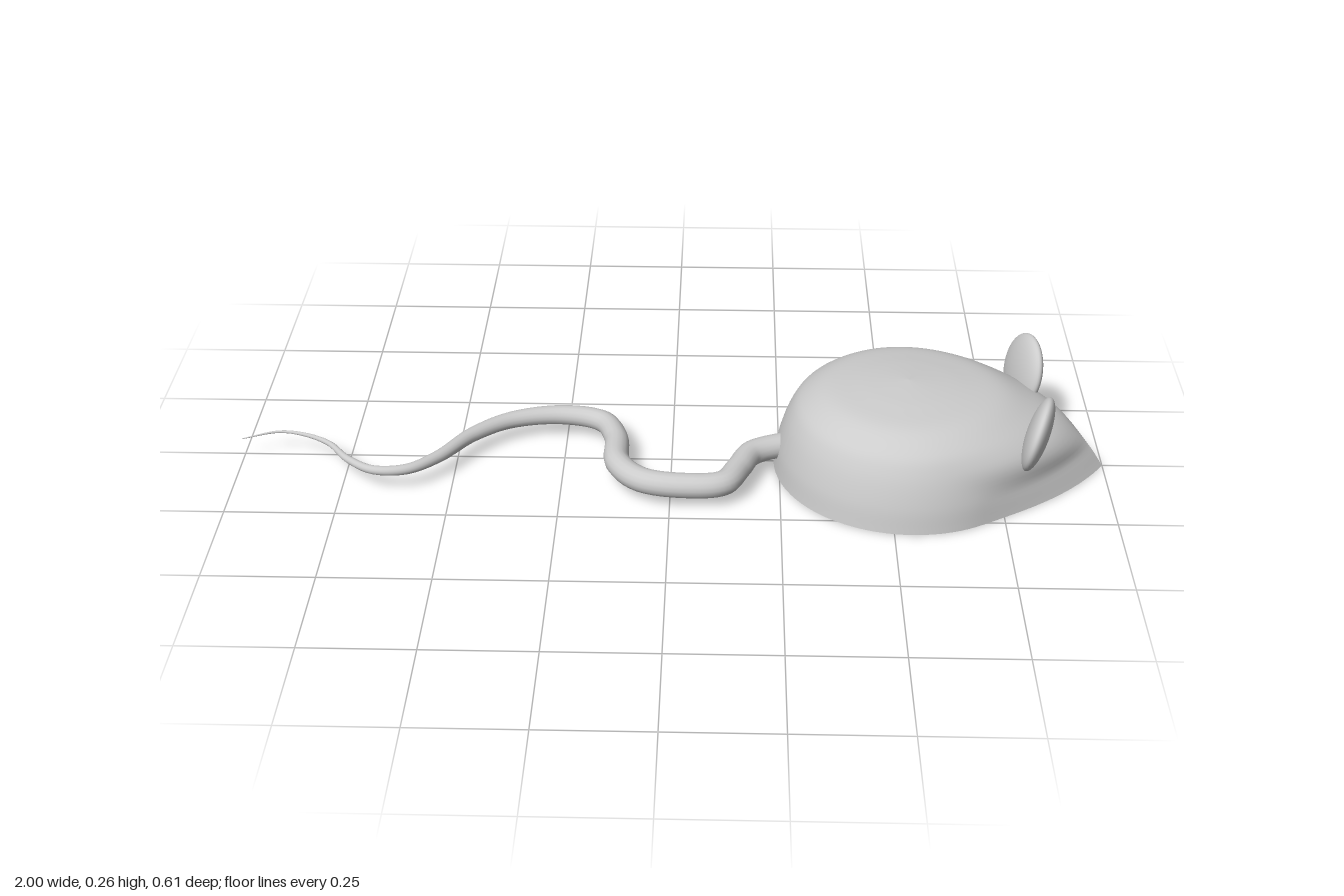
import * as THREE from 'three';

const CX = 0.54; // centre of the round part of the body
const material = new THREE.MeshStandardMaterial({ color: 0xcccccc });

function add(group, name, geometry) {
  const mesh = new THREE.Mesh(geometry, material);
  mesh.name = name;
  group.add(mesh);
  return mesh;
}

// Geometry from loops of equal length, stacked one after another
function loft(loops) {
  const n = loops[0].length;
  const index = [];
  for (let j = 0; j < loops.length - 1; j++) {
    for (let i = 0; i < n - 1; i++) {
      const a = j * n + i;
      index.push(a, a + n, a + 1, a + 1, a + n, a + n + 1);
    }
  }
  const geometry = new THREE.BufferGeometry().setFromPoints(loops.flat());
  geometry.setIndex(index);
  geometry.computeVertexNormals();
  return geometry;
}

// Horizontal outline: a circle drawn out to a pointed snout at +x
function outline(radius, y, snout, soft, count = 96) {
  return Array.from({ length: count + 1 }, (_, i) => {
    const u = (i / count) * 2 - 1; // -1..1, denser near the snout
    const t = Math.PI * (1 + Math.sign(u) * (1 - Math.pow(1 - Math.abs(u), 1.3)));
    const off = Math.min(t, Math.PI * 2 - t);
    const eased = Math.sqrt(off * off + soft * soft) - soft;
    const f = Math.max(0, 1 - eased / 1.02) ** 2;
    const r = radius * (1 + (snout - 1) * f);
    return new THREE.Vector3(CX + r * Math.cos(t), y, r * Math.sin(t));
  });
}

function buildBody(group) {
  // radius, height, snout stretch
  const levels = new THREE.CatmullRomCurve3([
    [0.303, 0, 1.52], [0.294, 0.06, 1.43], [0.271, 0.13, 1.31], [0.237, 0.175, 1.17],
    [0.19, 0.201, 1.12], [0.12, 0.213, 1.1], [0.06, 0.219, 1.05], [0, 0.223, 1],
  ].map((p) => new THREE.Vector3(...p)));
  const loops = levels.getPoints(42).map((p) =>
    outline(Math.max(0, p.x), p.y, p.z, 0.35 * THREE.MathUtils.smoothstep(p.y, 0.05, 0.14)));
  add(group, 'body', loft(loops));

  // Flat underside
  const rim = loops[0];
  const centre = rim.map(() => new THREE.Vector3(CX, 0, 0));
  add(group, 'underside', loft([centre, rim.map((p) => p.clone())]));
}

// Flattened ball with its lower end cut off straight
function buildEars(group) {
  const cut = Math.PI * 0.755;
  const rim = new THREE.Vector2(Math.sin(cut), Math.cos(cut));
  const profile = [
    new THREE.Vector2(0, rim.y),
    new THREE.Vector2(rim.x * 0.9, rim.y),
    new THREE.Vector2(rim.x * 0.98, rim.y),
  ];
  for (let i = 0; i <= 24; i++) {
    const t = cut * (1 - i / 24);
    profile.push(new THREE.Vector2(Math.sin(t), Math.cos(t)));
  }
  const geometry = new THREE.LatheGeometry(profile, 40);
  geometry.scale(0.026, 0.087, 0.087);
  for (const side of [1, -1]) {
    const ear = add(group, side > 0 ? 'frontEar' : 'backEar', geometry);
    ear.position.set(0.82, 0.17, side * 0.146);
    ear.rotation.set(side * 0.5, -side * 0.26, -0.22, 'YZX');
  }
}

// Winding tail that tapers to a fine tip
function buildTail(group) {
  const path = new THREE.CatmullRomCurve3([
    [0.32, 0.0], [0.25, 0.014], [0.185, 0.05], [0.155, 0.115], [0.12, 0.18], [0.04, 0.193],
    [-0.065, 0.17], [-0.12, 0.1], [-0.13, -0.01], [-0.165, -0.085], [-0.26, -0.112],
    [-0.38, -0.085], [-0.465, -0.016], [-0.535, 0.085], [-0.6, 0.14], [-0.675, 0.145],
    [-0.74, 0.1], [-0.795, 0.032], [-0.86, -0.006], [-0.92, -0.016], [-1, 0.018],
  ].map(([x, z]) => new THREE.Vector3(x, 0.051, z)));
  const segments = 200;
  const sides = 16;
  const geometry = new THREE.TubeGeometry(path, segments, 1, sides);
  const position = geometry.attributes.position;
  const v = new THREE.Vector3();
  for (let j = 0; j <= segments; j++) {
    const t = j / segments;
    const c = path.getPointAt(t);
    const radius = t < 0.35 ? 0.029 : THREE.MathUtils.lerp(0.029, 0.001, (t - 0.35) / 0.65);
    for (let i = 0; i <= sides; i++) {
      const k = j * (sides + 1) + i;
      v.fromBufferAttribute(position, k).sub(c).multiplyScalar(radius).add(c);
      position.setXYZ(k, v.x, v.y, v.z);
    }
  }
  add(group, 'tail', geometry);
}

export function createModel() {
  const group = new THREE.Group();
  group.name = 'mouse';
  buildBody(group);
  buildEars(group);
  buildTail(group);
  return group;
}
